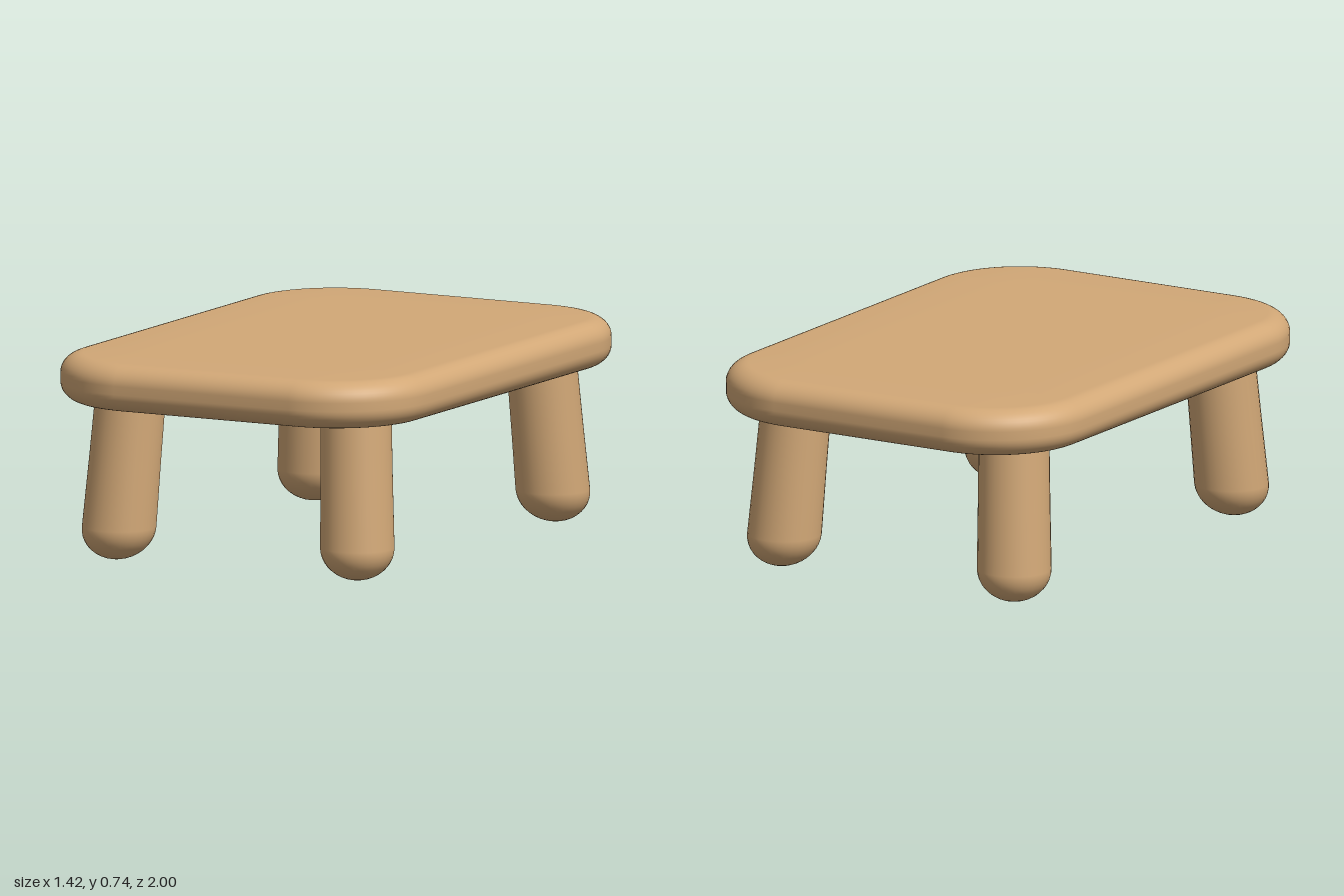
import * as THREE from 'three';

const wood = new THREE.MeshStandardMaterial({ color: 0xd2a877 });
wood.name = 'light wood';

// Rounded slab: rounded-rectangle rings stacked from underside to upper face
function slabGeometry(hx, hz, corner, bottom, top, edgeX, edgeY) {
  const rings = [];
  const steps = 10;
  rings.push([0.3, bottom], [0.15, bottom]);
  for (let i = 0; i <= steps; i++) {
    const a = (i / steps) * Math.PI / 2;
    rings.push([edgeX * (1 - Math.sin(a)), bottom + edgeY * (1 - Math.cos(a))]);
  }
  for (let i = 0; i <= steps; i++) {
    const a = (i / steps) * Math.PI / 2;
    rings.push([edgeX * (1 - Math.cos(a)), top - 0.005 - edgeY * (1 - Math.sin(a))]);
  }
  rings.push([0.2, top], [0.3, top]);

  const arc = 16, positions = [], index = [];
  for (const [inset, y] of rings) {
    for (let q = 0; q < 4; q++) {
      const sx = q === 0 || q === 3 ? 1 : -1, sz = q < 2 ? 1 : -1;
      for (let i = 0; i <= arc; i++) {
        const a = (q + i / arc) * Math.PI / 2, r = corner - inset;
        positions.push(sx * (hx - corner) + r * Math.cos(a), y, sz * (hz - corner) + r * Math.sin(a));
      }
    }
  }
  const n = 4 * (arc + 1), last = (rings.length - 1) * n;
  for (let k = 0; k < rings.length - 1; k++) {
    for (let i = 0; i < n; i++) {
      const j = (i + 1) % n, a = k * n + i, b = k * n + j;
      index.push(a, a + n, b, b, a + n, b + n);
    }
  }
  // Flat centres of both faces
  const low = positions.length / 3;
  positions.push(0, bottom, 0, 0, top, 0);
  for (let i = 0; i < n; i++) {
    const j = (i + 1) % n;
    index.push(low, i, j, low + 1, last + j, last + i);
  }
  const g = new THREE.BufferGeometry();
  g.setAttribute('position', new THREE.Float32BufferAttribute(positions, 3));
  g.setIndex(index);
  g.computeVertexNormals();
  return g;
}

// Tapered round leg with a domed foot
function legGeometry() {
  const profile = [];
  for (let i = 0; i <= 10; i++) {
    const a = (i / 10) * Math.PI / 2;
    profile.push(new THREE.Vector2(0.132 * Math.sin(a), 0.115 * (1 - Math.cos(a))));
  }
  profile.push(new THREE.Vector2(0.128, 0.35), new THREE.Vector2(0.125, 0.62));
  return new THREE.LatheGeometry(profile, 32);
}

export function createModel() {
  const model = new THREE.Group();
  model.name = 'lowTable';

  const top = new THREE.Mesh(slabGeometry(0.71, 1, 0.36, 0.565, 0.74, 0.08, 0.07), wood);
  top.name = 'tableTop';
  model.add(top);

  // Four legs splayed outwards towards the corners
  for (const sx of [1, -1]) {
    for (const sz of [1, -1]) {
      const lean = new THREE.Matrix4().set(
        1, -0.054 * sx, 0, 0.484 * sx,
        0, 1, 0, 0,
        0, -0.082 * sz, 1, 0.733 * sz,
        0, 0, 0, 1);
      const leg = new THREE.Mesh(legGeometry().applyMatrix4(lean), wood);
      leg.name = (sz > 0 ? 'front' : 'back') + (sx > 0 ? 'Left' : 'Right') + 'Leg';
      model.add(leg);
    }
  }
  return model;
}
